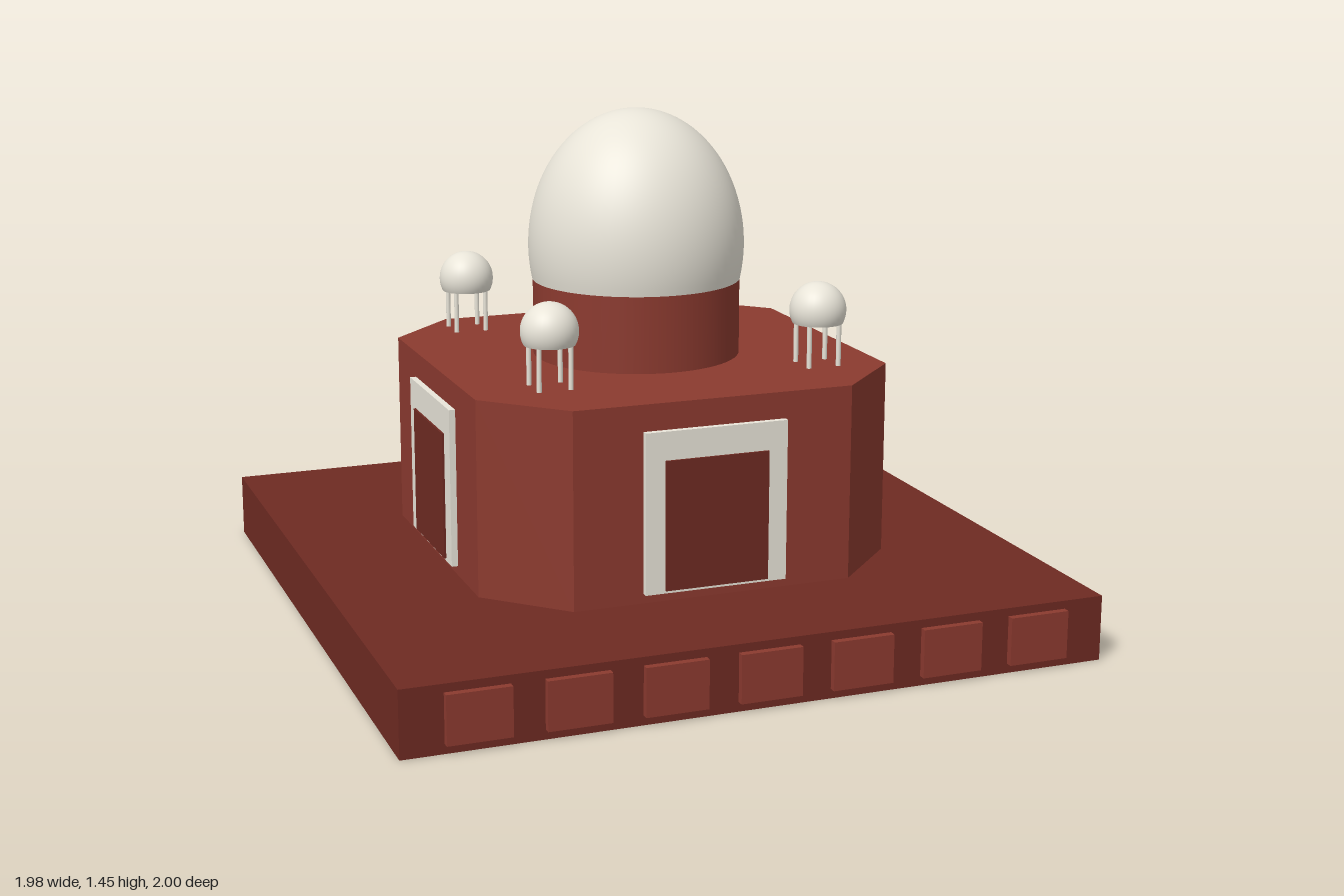
import * as THREE from 'three';

const brick = new THREE.MeshStandardMaterial({ color: 0x8b3a2f });
const darkBrick = new THREE.MeshStandardMaterial({ color: 0x6e2a22 });
const marble = new THREE.MeshStandardMaterial({ color: 0xe8e4d8 });

function add(parent, name, geometry, material, x = 0, y = 0, z = 0) {
  const mesh = new THREE.Mesh(geometry, material);
  mesh.name = name;
  mesh.position.set(x, y, z);
  parent.add(mesh);
  return mesh;
}

// Ellipsoidal cap cut flat at "cut" below its centre, closed underneath
function domeGeometry(radius, height, cut, segments) {
  const end = Math.PI / 2 + Math.asin(cut / height);
  const points = [new THREE.Vector2(0, -cut), new THREE.Vector2(radius * Math.sin(end), -cut)];
  // the rim point is doubled so the flat underside stays crisp
  for (let i = 0; i <= 32; i++) {
    const a = end * (1 - i / 32);
    points.push(new THREE.Vector2(i === 32 ? 0 : radius * Math.sin(a), height * Math.cos(a)));
  }
  return new THREE.LatheGeometry(points, segments);
}

export function createModel() {
  const model = new THREE.Group();
  model.name = 'domedTomb';
  const building = new THREE.Group();
  building.name = 'building';
  building.position.z = -0.01;
  model.add(building);

  // Plinth with a row of raised panels on the front
  add(building, 'plinth', new THREE.BoxGeometry(1.98, 0.185, 1.98), darkBrick, 0, 0.0925, 0);
  for (let i = -3; i <= 3; i++) {
    add(building, 'plinthPanel', new THREE.BoxGeometry(0.173, 0.135, 0.04), brick, i * 0.2625, 0.0945, 0.99);
  }

  // Square hall with chamfered corners
  const w = 0.61, c = 0.405;
  const plan = new THREE.Shape([
    [c, -w], [w, -c], [w, c], [c, w], [-c, w], [-w, c], [-w, -c], [-c, -w],
  ].map(([x, y]) => new THREE.Vector2(x, y)));
  const hall = new THREE.ExtrudeGeometry(plan, { depth: 0.555, bevelEnabled: false });
  hall.rotateX(-Math.PI / 2);
  add(building, 'hall', hall, brick, 0, 0.185, 0);

  // One portal on each of the four main walls
  for (let i = 0; i < 4; i++) {
    const portal = new THREE.Group();
    portal.name = 'portal';
    portal.rotation.y = i * Math.PI / 2;
    add(portal, 'portalFrame', new THREE.BoxGeometry(0.412, 0.453, 0.04), marble, 0, 0.4385, 0.608);
    add(portal, 'doorway', new THREE.BoxGeometry(0.3, 0.365, 0.04), darkBrick, 0, 0.4025, 0.614);
    building.add(portal);
  }

  // Drum and main dome
  add(building, 'drum', new THREE.CylinderGeometry(0.3, 0.3, 0.22, 64), brick, 0, 0.85, 0);
  add(building, 'mainDome', domeGeometry(0.312, 0.39, 0.1, 64), marble, 0, 1.06, 0);

  // Corner kiosks: a small dome on four slender posts
  const smallDome = domeGeometry(0.08, 0.08, 0.037, 32);
  const post = new THREE.CylinderGeometry(0.007, 0.007, 0.125, 12);
  for (const sx of [-1, 1]) for (const sz of [-1, 1]) {
    const kiosk = new THREE.Group();
    kiosk.name = 'kiosk';
    kiosk.position.set(sx * 0.397, 0, sz * 0.397);
    add(kiosk, 'kioskDome', smallDome, marble, 0, 0.911, 0);
    for (const px of [-0.045, 0.045]) for (const pz of [-0.045, 0.045]) {
      add(kiosk, 'kioskPost', post, marble, px, 0.8175, pz);
    }
    building.add(kiosk);
  }
  return model;
}
